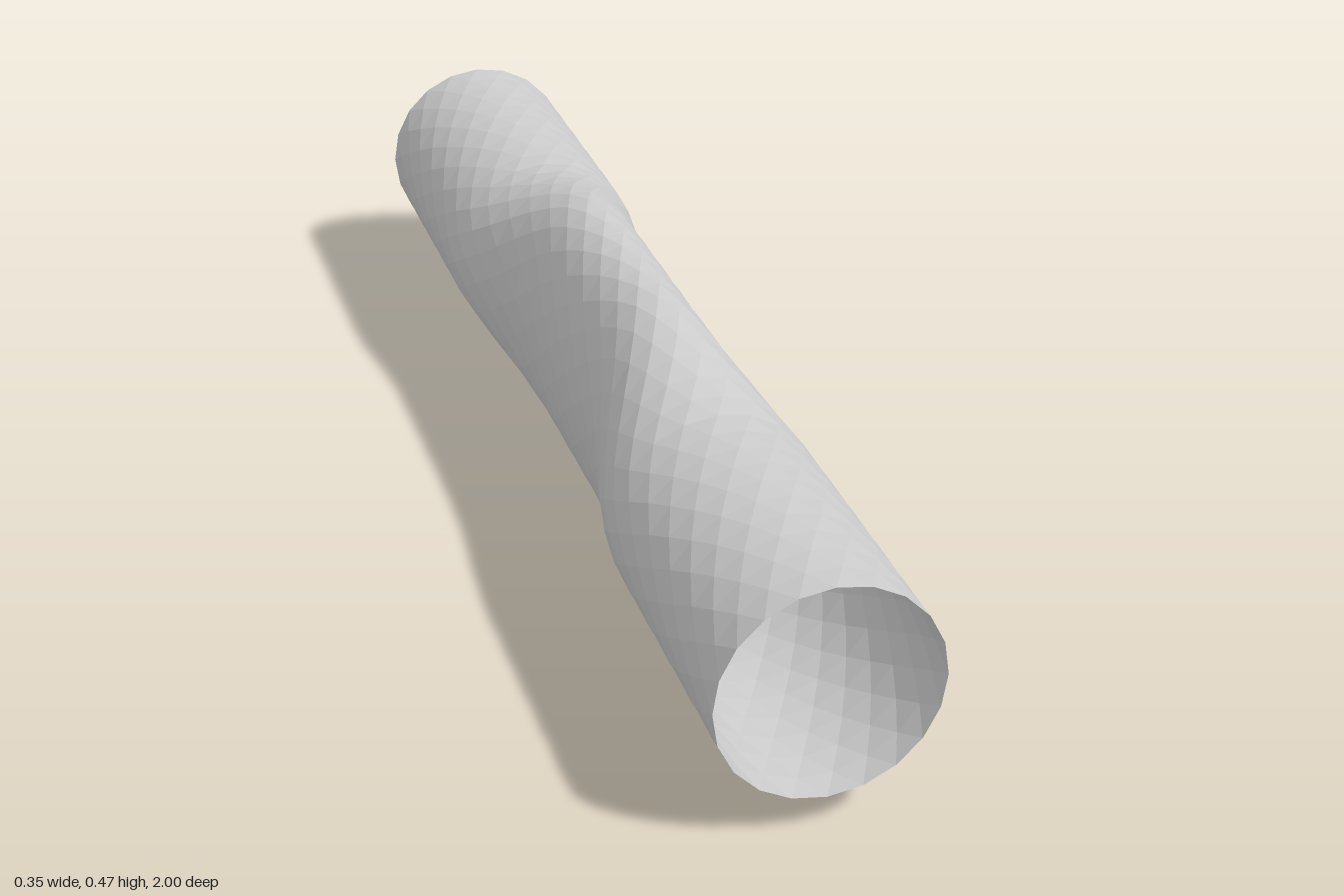
import * as THREE from 'three';

const SIDES = 20, ROWS = 40;
const RADIUS = 0.173, MID_X = 0.115, MID_Y = 0.233, CENTRE_Y = 0.233;

export function createModel() {
  const positions = [], index = [];

  // Rings along z: round at the ends, squeezed to a tall ellipse in the middle.
  // Each ring is turned half a step, giving a lattice of even triangles.
  for (let i = 0; i <= ROWS; i++) {
    const z = -1 + (2 * i) / ROWS;
    const squeeze = 1 - THREE.MathUtils.smoothstep(Math.abs(z), 0.17, 0.53);
    const rx = THREE.MathUtils.lerp(RADIUS, MID_X, squeeze);
    const ry = THREE.MathUtils.lerp(RADIUS, MID_Y, squeeze);
    for (let j = 0; j < SIDES; j++) {
      const a = ((j + i / 2) / SIDES) * Math.PI * 2;
      positions.push(rx * Math.cos(a), CENTRE_Y + ry * Math.sin(a), z);
    }
  }

  // Join neighbouring rings
  for (let i = 0; i < ROWS; i++) {
    for (let j = 0; j < SIDES; j++) {
      const k = (j + 1) % SIDES;
      const a = i * SIDES + j, b = i * SIDES + k;
      const c = a + SIDES, d = b + SIDES;
      index.push(a, b, c, b, d, c);
    }
  }

  const geometry = new THREE.BufferGeometry();
  geometry.setAttribute('position', new THREE.Float32BufferAttribute(positions, 3));
  geometry.setIndex(index);
  geometry.computeVertexNormals();

  // Open thin-walled tube
  const tube = new THREE.Mesh(geometry, new THREE.MeshStandardMaterial({
    color: 0xcccccc, flatShading: true, side: THREE.DoubleSide,
  }));
  tube.name = 'squeezedTube';

  const model = new THREE.Group();
  model.name = 'tubeModel';
  model.add(tube);
  return model;
}
